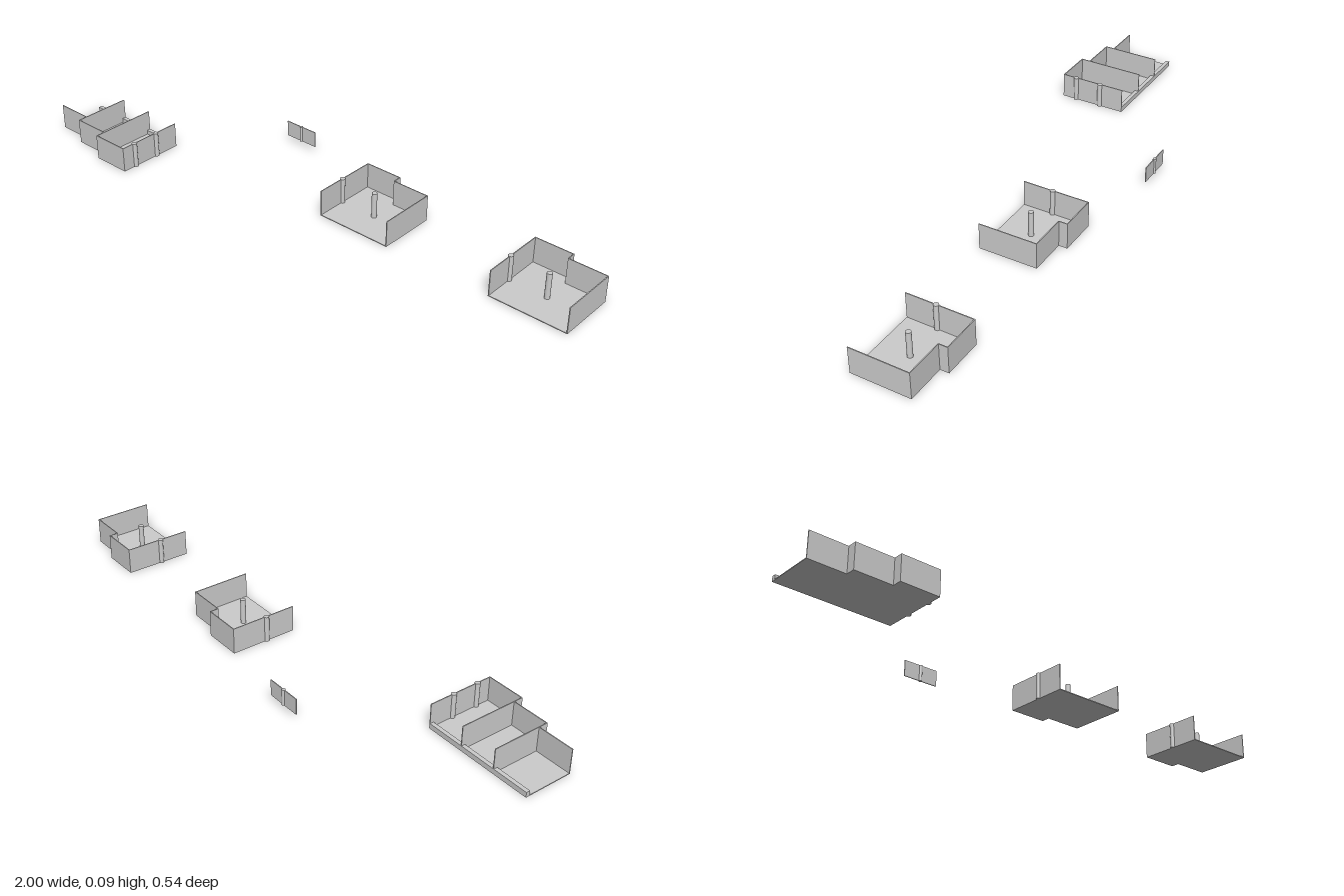
import * as THREE from 'three';

const T = 0.003; // sheet thickness of walls and floors
const material = new THREE.MeshStandardMaterial({ color: 0xcccccc });

function add(parent, name, geometry, x, y, z) {
  const mesh = new THREE.Mesh(geometry, material);
  mesh.name = name;
  mesh.position.set(x, y, z);
  parent.add(mesh);
}

// Box given by its limits on each axis
function block(parent, name, x0, x1, y0, y1, z0, z1) {
  add(parent, name, new THREE.BoxGeometry(x1 - x0, y1 - y0, z1 - z0),
    (x0 + x1) / 2, (y0 + y1) / 2, (z0 + z1) / 2);
}

function wallAlongX(parent, name, x0, x1, z, h) {
  block(parent, name, x0, x1, 0, h, z - T / 2, z + T / 2);
}

function wallAlongZ(parent, name, x, z0, z1, h) {
  block(parent, name, x - T / 2, x + T / 2, 0, h, z0, z1);
}

function post(parent, name, x, y0, y1, z, r) {
  add(parent, name, new THREE.CylinderGeometry(r, r, y1 - y0, 24), x, (y0 + y1) / 2, z);
}

// Thin floor from an outline of [x, z] points
function floorPlate(parent, points) {
  const shape = new THREE.Shape(points.map(([x, z]) => new THREE.Vector2(x, -z)));
  const geometry = new THREE.ExtrudeGeometry(shape, { depth: T, bevelEnabled: false });
  geometry.rotateX(-Math.PI / 2);
  add(parent, 'floor', geometry, 0, 0, 0);
}

// Room open at the front, with a stepped back wall and two posts
function createRoom(name, left) {
  const room = new THREE.Group();
  room.name = name;
  const h = 0.092, mid = 0.134, right = 0.268;
  const front = 0.03, back = -0.205, step = -0.175;
  floorPlate(room, [[0, front], [right, front], [right, step], [mid, step], [mid, back], [0, back]]);
  wallAlongZ(room, 'sideWall', 0, back, front, h);
  wallAlongZ(room, 'sideWall', right, step, front, h);
  wallAlongX(room, 'backWall', 0, mid, back + T / 2, h);
  wallAlongX(room, 'backWall', mid, right, step + T / 2, h);
  wallAlongZ(room, 'stepWall', mid, back, step, h);
  for (const x of [0, mid]) post(room, 'post', x, 0, h, -0.075, 0.009);
  room.position.x = left;
  return room;
}

// Three staggered bays, open at the back behind a low curb
function createBays() {
  const bays = new THREE.Group();
  bays.name = 'steppedBays';
  const h = 0.088, back = 0.03;
  const xs = [-1, -0.87, -0.738, -0.603], fronts = [0.204, 0.236, 0.268];
  const outline = [[xs[0], back]];
  fronts.forEach((z, i) => {
    outline.push([xs[i], z], [xs[i + 1], z]);
    wallAlongX(bays, 'frontWall', xs[i], xs[i + 1], z - T / 2, h);
    wallAlongZ(bays, 'partition', xs[i + 1], back, fronts[Math.min(i + 1, 2)], h);
  });
  outline.push([xs[3], back]);
  floorPlate(bays, outline);
  block(bays, 'curb', xs[0], xs[3], 0, 0.018, back, 0.044);
  for (const z of [0.12, 0.216]) post(bays, 'post', xs[3], 0, h, z, 0.009);
  return bays;
}

// Free-standing panel with a round bar in the middle
function createPanel() {
  const panel = new THREE.Group();
  panel.name = 'panel';
  block(panel, 'panelSheet', -0.336, -0.208, 0.022, 0.078, -0.2635, -0.2605);
  post(panel, 'panelBar', -0.272, 0.022, 0.078, -0.262, 0.006);
  return panel;
}

export function createModel() {
  const model = new THREE.Group();
  model.name = 'model';
  model.add(createBays(), createPanel(), createRoom('middleRoom', 0.077), createRoom('leftRoom', 0.73));
  return model;
}
